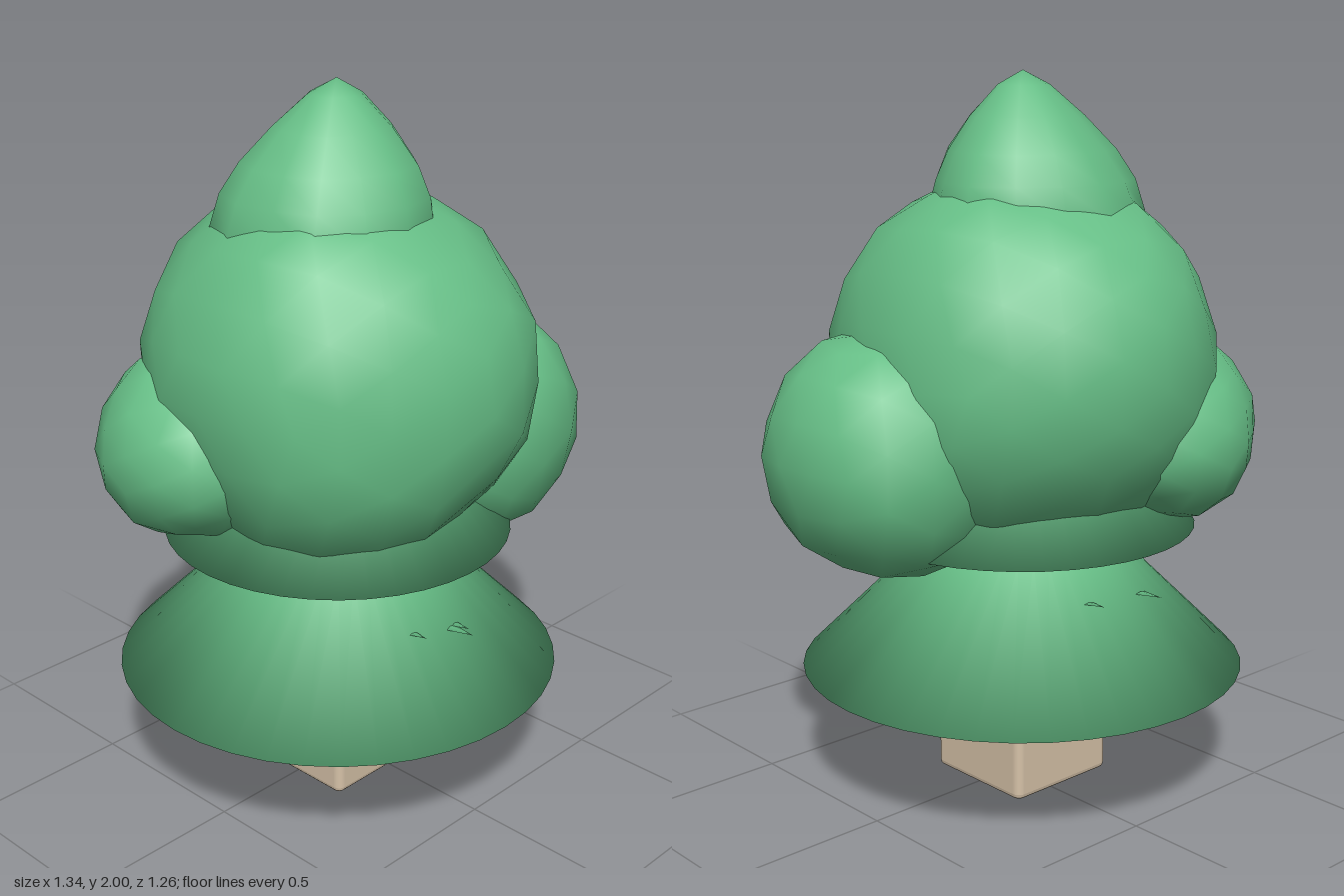
import * as THREE from 'three';
import { mergeVertices } from 'three/addons/utils/BufferGeometryUtils.js';

const leafGreen = new THREE.MeshStandardMaterial({ color: 0x66be86, side: THREE.DoubleSide });
leafGreen.name = 'leafGreen';
const barkTan = new THREE.MeshStandardMaterial({ color: 0xd6c2a8, side: THREE.DoubleSide });
barkTan.name = 'barkTan';

const AXIS_X = -0.04; // the trunk stands slightly off centre

function add(group, name, geometry, material, x = 0, y = 0, z = 0) {
  const mesh = new THREE.Mesh(geometry, material);
  mesh.name = name;
  mesh.position.set(x, y, z);
  group.add(mesh);
  return mesh;
}

// Weld a geometry, move every vertex by a rule and smooth it
function reshape(geometry, rule) {
  geometry.deleteAttribute('normal');
  geometry.deleteAttribute('uv');
  const welded = mergeVertices(geometry, 1e-4);
  const p = welded.attributes.position;
  const v = new THREE.Vector3();
  for (let i = 0; i < p.count; i++) {
    rule(v.fromBufferAttribute(p, i));
    p.setXYZ(i, v.x, v.y, v.z);
  }
  welded.computeVertexNormals();
  return welded;
}

// Lumpy, slightly boxy ellipsoid of leaves (power 2 is round)
function clump(rx, ry, rz, detail, power, seed, amount) {
  return reshape(new THREE.IcosahedronGeometry(1, detail), (v) => {
    const bump =
      Math.sin(4.1 * v.x + seed) * Math.cos(3.7 * v.y - seed) +
      0.7 * Math.sin(5.3 * v.z + 2 * seed + 2 * v.x) +
      0.5 * Math.sin(9 * v.y + 7 * v.x - 6 * v.z + seed);
    const norm = Math.abs(v.x) ** power + Math.abs(v.y) ** power + Math.abs(v.z) ** power;
    v.multiplyScalar((1 + amount * bump) / norm ** (1 / power));
    v.set(v.x * rx, v.y * ry, v.z * rz);
  });
}

// Closed cone of branches with a softly shaded rim
function skirt(rTop, rBottom, height) {
  return reshape(new THREE.CylinderGeometry(rTop, rBottom, height, 40, 1), () => {});
}

function trunkGeometry() {
  const h = 0.163, r = 0.012;
  const s = new THREE.Shape();
  s.moveTo(-h + r, -h);
  s.lineTo(h - r, -h).quadraticCurveTo(h, -h, h, -h + r);
  s.lineTo(h, h - r).quadraticCurveTo(h, h, h - r, h);
  s.lineTo(-h + r, h).quadraticCurveTo(-h, h, -h, h - r);
  s.lineTo(-h, -h + r).quadraticCurveTo(-h, -h, -h + r, -h);
  s.holes.push(new THREE.Path().absarc(0, 0, 0.157, 0, Math.PI * 2, true));
  const g = new THREE.ExtrudeGeometry(s, {
    depth: 0.36, bevelThickness: 0.015, bevelSize: 0.012, bevelSegments: 3, curveSegments: 16,
  });
  g.rotateX(-Math.PI / 2);
  g.translate(0, 0.015, 0);
  return g;
}

export function createModel() {
  const tree = new THREE.Group();
  tree.name = 'tree';

  // Trunk, with a shallow hollow underneath
  add(tree, 'trunk', trunkGeometry(), barkTan, AXIS_X);
  const recess = new THREE.CircleGeometry(0.157, 32);
  recess.rotateX(Math.PI / 2);
  add(tree, 'trunkRecess', recess, barkTan, AXIS_X, 0.03, 0);

  // Two flared skirts with a lumpy neck between them
  add(tree, 'lowerSkirt', skirt(0.26, 0.628, 0.365), leafGreen, AXIS_X, 0.5275, 0);
  add(tree, 'upperSkirt', skirt(0.27, 0.487, 0.245), leafGreen, AXIS_X, 0.8775, 0);
  add(tree, 'neck', clump(0.285, 0.22, 0.285, 2, 2, 2.2, 0.015), leafGreen, AXIS_X, 0.74, 0);

  // Main crown and side clumps
  add(tree, 'crown', clump(0.52, 0.525, 0.54, 3, 2.12, 0.6, 0.022), leafGreen, -0.035, 1.215, 0);
  add(tree, 'leftClump', clump(0.325, 0.335, 0.34, 2, 2.3, 5.2, 0.02), leafGreen, 0.345, 1.0, 0.1);
  const backClump = add(tree, 'rightBackClump', clump(0.28, 0.255, 0.34, 2, 2.2, 4.0, 0.03), leafGreen, -0.33, 1.02, -0.24);
  backClump.rotation.y = -Math.PI / 4;

  // Pointed top, leaning slightly
  const profile = [
    [0.24, 1.45], [0.29, 1.54], [0.298, 1.62], [0.272, 1.71], [0.228, 1.79],
    [0.155, 1.88], [0.07, 1.962], [0, 2],
  ].map(([r, y]) => new THREE.Vector2(r, y));
  const top = reshape(new THREE.LatheGeometry(profile, 14), (v) => {
    const a = Math.atan2(v.z, v.x);
    const k = 1 + 0.035 * Math.sin(3 * a + 9 * v.y) + 0.025 * Math.sin(5 * a - 6 * v.y);
    v.x = v.x * k - 0.08 * (2 - v.y);
    v.z = v.z * k - 0.03 * (2 - v.y);
  });
  add(tree, 'topCap', top, leafGreen, AXIS_X);

  // Tiny leaf tips poking through the lower skirt
  const tips = [[0.0, 0.56, 0.42], [-0.14, 0.575, 0.39], [-0.02, 0.56, 0.45], [-0.15, 0.6, -0.4], [0.04, 0.61, -0.37]];
  tips.forEach(([x, y, z], i) => {
    const tip = add(tree, 'leafTip' + (i + 1), new THREE.ConeGeometry(0.02, 0.08, 4), leafGreen, x, y, z);
    tip.scale.z = 0.2;
    tip.rotation.x = Math.sign(z) * 1.5;
  });

  return tree;
}
